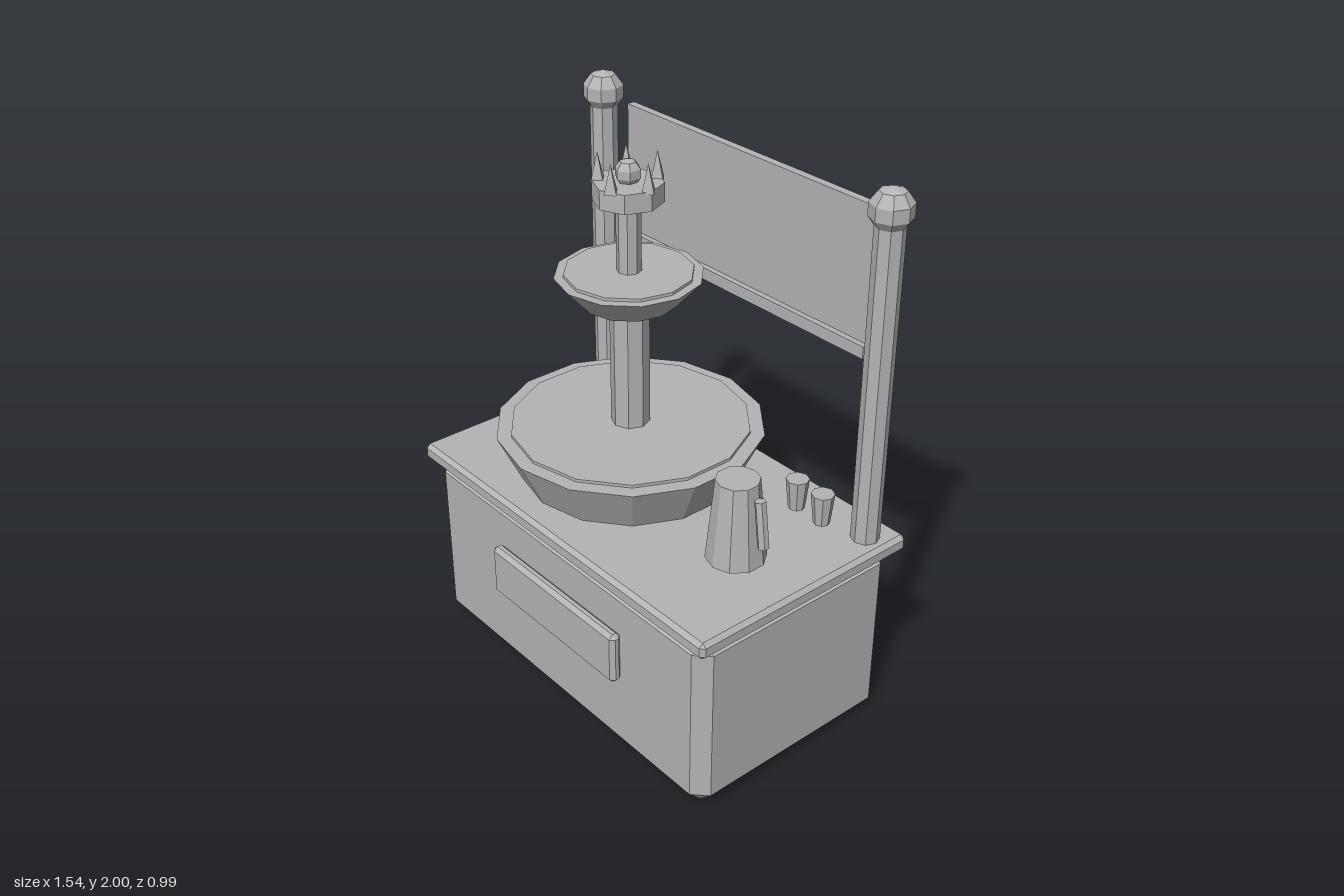
import * as THREE from 'three';
import { ConvexGeometry } from 'three/addons/geometries/ConvexGeometry.js';

const stone = new THREE.MeshStandardMaterial({ color: 0xb4b4b4, flatShading: true });
stone.name = 'grey';

// Box with single-cut chamfers on every edge
function chamferBox(w, h, d, c) {
  const pts = [];
  for (const x of [-1, 1]) for (const y of [-1, 1]) for (const z of [-1, 1]) {
    for (let keep = 0; keep < 3; keep++) {
      const cut = [0, 1, 2].map((i) => (i === keep ? 0 : c));
      pts.push(new THREE.Vector3(x * (w / 2 - cut[0]), y * (h / 2 - cut[1]), z * (d / 2 - cut[2])));
    }
  }
  return new ConvexGeometry(pts);
}

export function createModel() {
  const model = new THREE.Group();
  model.name = 'fountainStand';

  const add = (name, geometry, x, y, z, parent = model) => {
    const mesh = new THREE.Mesh(geometry, stone);
    mesh.name = name;
    mesh.position.set(x, y, z);
    parent.add(mesh);
    return mesh;
  };
  // Upright cylinder or frustum given by its bottom and top heights
  const drum = (name, rTop, rBottom, y0, y1, sides, x, z, parent) =>
    add(name, new THREE.CylinderGeometry(rTop, rBottom, y1 - y0, sides), x, (y0 + y1) / 2, z, parent);

  // Cabinet, counter and front plaque
  add('cabinet', chamferBox(1.476, 0.69, 0.855, 0.05), 0, 0.345, 0.024);
  add('counter', chamferBox(1.54, 0.063, 0.92, 0.015), 0, 0.7065, 0.02);
  add('frontPlaque', chamferBox(0.685, 0.2, 0.045, 0.015), 0, 0.415, 0.4725);

  // Posts with ball finials
  for (const side of [-1, 1]) {
    drum('post', 0.05, 0.05, 0.73, 1.9, 8, side * 0.687, -0.322);
    add('postBall', new THREE.SphereGeometry(0.075, 8, 5), side * 0.687, 1.925, -0.322);
  }

  // Sign board with a ledge along its foot
  add('signBoard', new THREE.BoxGeometry(1.2, 0.517, 0.03), 0, 1.632, -0.376);
  add('signLedge', new THREE.BoxGeometry(1.2, 0.045, 0.022), 0, 1.396, -0.351);

  // Tiered fountain
  const fountain = new THREE.Group();
  fountain.name = 'fountain';
  fountain.position.set(-0.174, 0, -0.014);
  model.add(fountain);
  drum('basin', 0.48, 0.395, 0.735, 0.913, 14, 0, 0, fountain);
  drum('basinWater', 0.428, 0.428, 0.9, 0.924, 14, 0, 0, fountain);
  drum('lowerColumn', 0.069, 0.069, 0.91, 1.41, 8, 0, 0, fountain);
  drum('upperBowl', 0.256, 0.168, 1.397, 1.496, 12, 0, 0, fountain);
  drum('upperWater', 0.223, 0.223, 1.48, 1.507, 12, 0, 0, fountain);
  drum('upperColumn', 0.043, 0.043, 1.5, 1.77, 8, 0, 0, fountain);

  // Crown with five spikes and a centre knob
  drum('crownBand', 0.12, 0.12, 1.757, 1.825, 8, 0, 0, fountain);
  for (let i = 0; i < 5; i++) {
    const a = (i * Math.PI * 2) / 5;
    add('crownSpike', new THREE.ConeGeometry(0.029, 0.1, 4),
      0.103 * Math.cos(a), 1.868, 0.103 * Math.sin(a), fountain);
  }
  const knob = add('crownKnob', new THREE.SphereGeometry(0.047, 6, 5), 0, 1.856, 0, fountain);
  knob.rotation.y = Math.PI / 6;

  // Pitcher with handle
  drum('pitcher', 0.074, 0.103, 0.765, 1.065, 10, 0.512, 0.106);
  const handle = drum('pitcherHandle', 0.02, 0.02, 0.863, 1.033, 6, 0.627, 0.106);
  handle.rotation.z = 0.13;

  // Cups
  for (const x of [0.443, 0.563]) drum('cup', 0.041, 0.029, 0.77, 0.885, 8, x, -0.238);

  return model;
}
